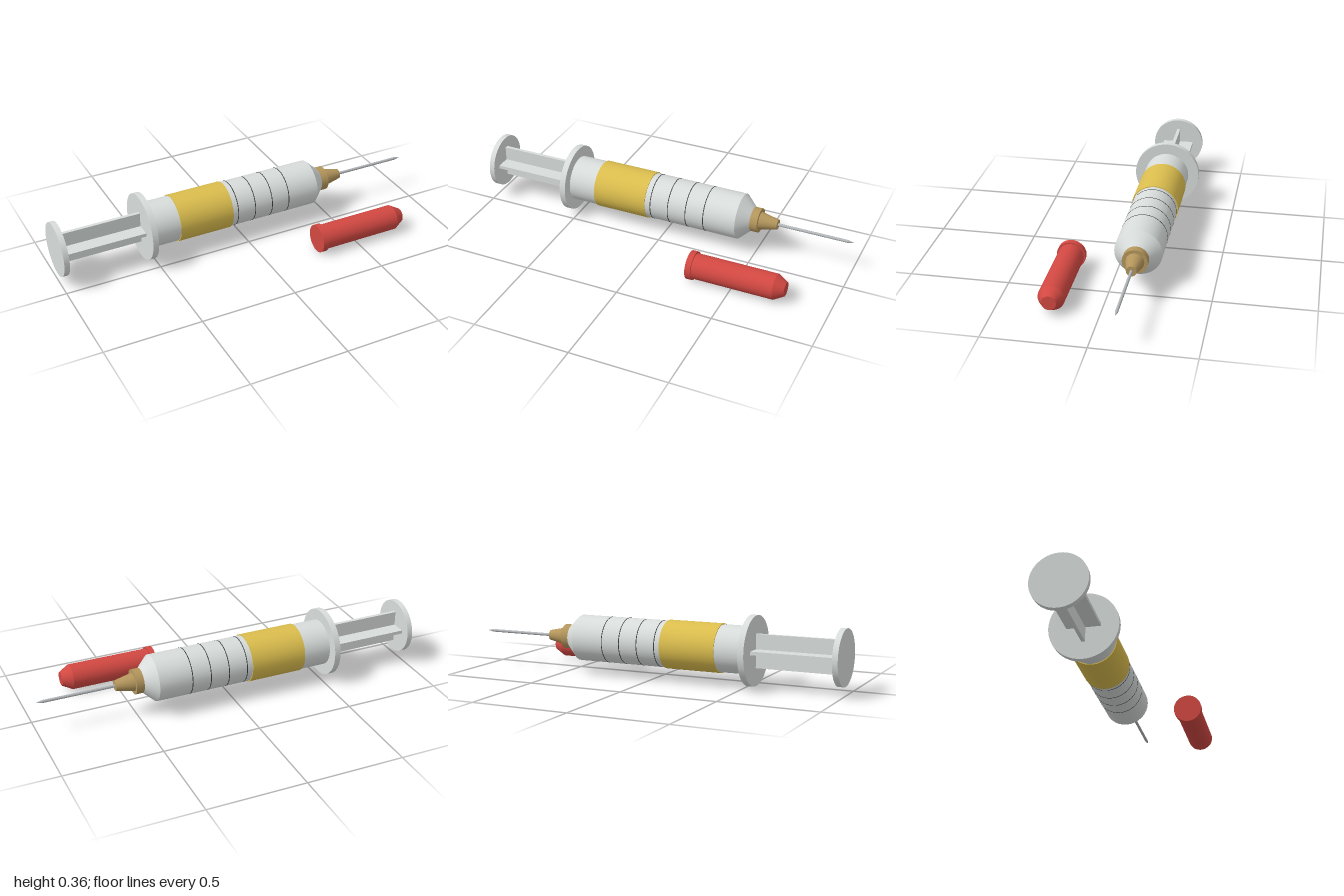
import * as THREE from 'three';

const paint = (name, color) => {
  const m = new THREE.MeshStandardMaterial({ color });
  m.name = name;
  return m;
};

export function createModel() {
  const plastic = paint('pale grey plastic', 0xd8dddb);
  const yellow = paint('yellow label', 0xdcbe4e);
  const brass = paint('tan hub', 0xb4965c);
  const steel = paint('steel', 0xb4b8ba);
  const dark = paint('dark marks', 0x3c4042);
  const red = paint('red cap', 0xd24842);

  const model = new THREE.Group();
  model.name = 'syringeWithCap';

  // Frustum along x, from x0 (radius r0) to x1 (radius r1)
  const turn = (parent, name, mat, x0, x1, r0, r1 = r0, sides = 32, open = false) => {
    const geo = new THREE.CylinderGeometry(r1, r0, x1 - x0, sides, 1, open);
    geo.rotateZ(-Math.PI / 2);
    const mesh = new THREE.Mesh(geo, mat);
    mesh.name = name;
    mesh.position.x = (x0 + x1) / 2;
    parent.add(mesh);
    return mesh;
  };

  const syringe = new THREE.Group();
  syringe.name = 'syringe';
  syringe.position.set(0, 0.183, -0.128);
  model.add(syringe);

  // Plunger: thumb disc and cross-shaped rod
  turn(syringe, 'thumbDisc', plastic, -1, -0.972, 0.139, 0.139, 48);
  for (const [name, h, d] of [['plungerRibUpright', 0.168, 0.018], ['plungerRibFlat', 0.018, 0.168]]) {
    const rib = new THREE.Mesh(new THREE.BoxGeometry(0.43, h, d), plastic);
    rib.name = name;
    rib.position.x = -0.76;
    syringe.add(rib);
  }

  // Barrel with finger flange and tapered shoulder
  turn(syringe, 'fingerFlange', plastic, -0.551, -0.52, 0.174, 0.174, 48);
  turn(syringe, 'barrel', plastic, -0.52, 0.413, 0.118);
  turn(syringe, 'barrelShoulder', plastic, 0.413, 0.475, 0.118, 0.06);
  turn(syringe, 'label', yellow, -0.375, -0.083, 0.1225);

  // Graduation rings
  for (let i = 0; i < 4; i++) {
    const x = -0.053 + i * 0.098;
    turn(syringe, 'graduationRing', dark, x - 0.002, x + 0.002, 0.1187);
  }

  // Needle hub, shaft and point
  turn(syringe, 'hubCollar', brass, 0.472, 0.512, 0.063, 0.063, 24);
  turn(syringe, 'hubCone', brass, 0.512, 0.605, 0.046, 0.026, 24);
  turn(syringe, 'needle', steel, 0.6, 0.97, 0.0075, 0.0075, 12);
  turn(syringe, 'needlePoint', steel, 0.97, 1, 0.0075, 0.0005, 12);

  // Loose needle cap lying beside the syringe
  const cap = new THREE.Group();
  cap.name = 'needleCap';
  cap.position.set(0, 0.073, 0.23);
  model.add(cap);
  turn(cap, 'capRim', red, 0.275, 0.305, 0.073);
  turn(cap, 'capBody', red, 0.305, 0.725, 0.065);
  turn(cap, 'capTip', red, 0.725, 0.776, 0.065, 0.036);

  return model;
}
